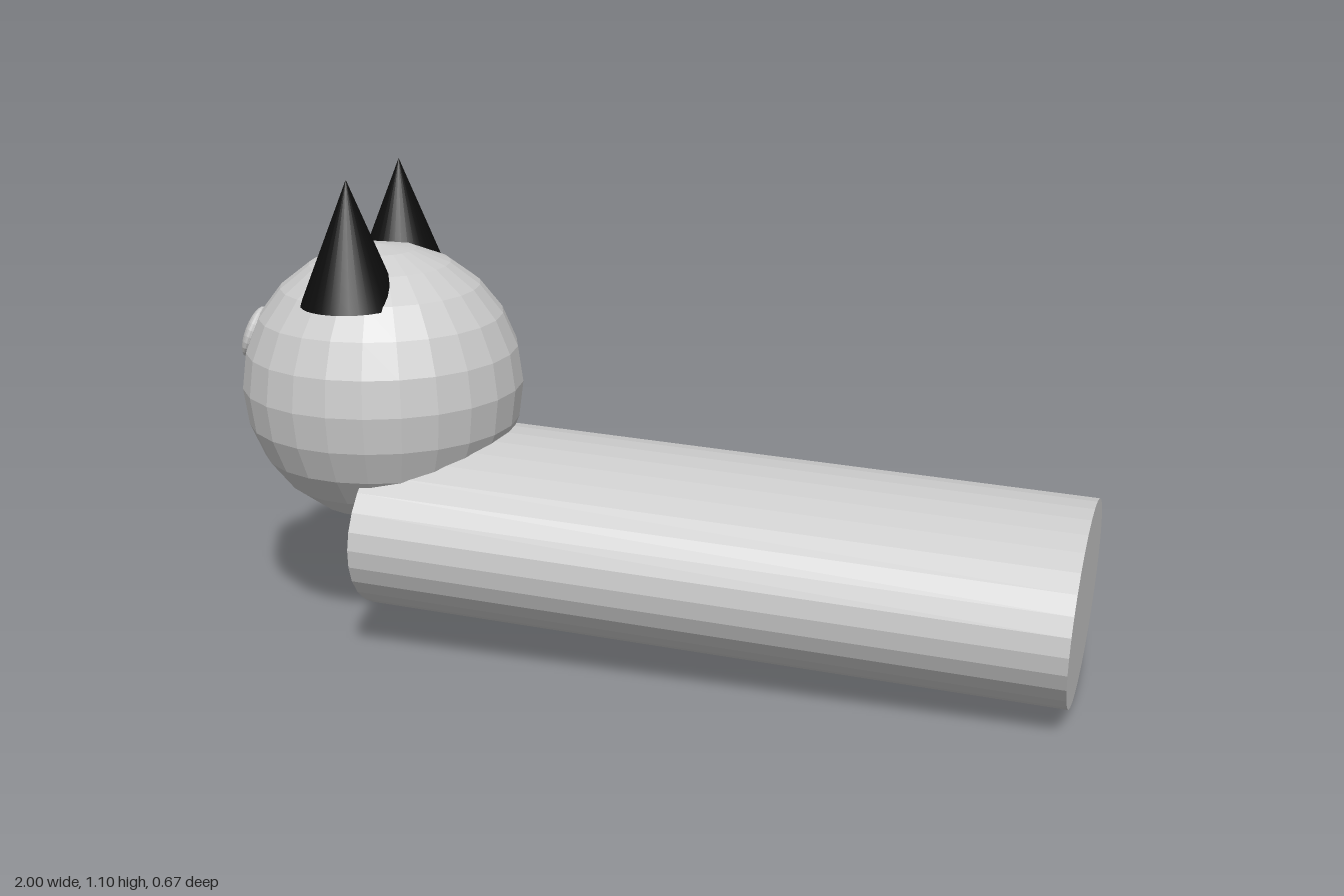
import * as THREE from 'three';

export function createModel() {
  const model = new THREE.Group();
  model.name = 'cat';
  const grey = new THREE.MeshStandardMaterial({ color: 0xcccccc, flatShading: true });
  grey.name = 'light grey';
  const black = new THREE.MeshStandardMaterial({ color: 0x0d0d0d });
  black.name = 'black';

  const add = (name, geometry, material, position) => {
    const mesh = new THREE.Mesh(geometry, material);
    mesh.name = name;
    mesh.position.copy(position);
    model.add(mesh);
    return mesh;
  };

  // Body: long oval cylinder, sloping slightly down towards +x
  const body = add('body', new THREE.CylinderGeometry(1, 1, 1.618, 32), grey,
    new THREE.Vector3(0.181, 0.254, 0));
  body.scale.set(0.217, 1, 0.332);
  body.rotation.z = -Math.PI / 2 - 0.041;

  // Head: faceted ball over the -x end of the body
  const headCentre = new THREE.Vector3(-0.67, 0.595, -0.004);
  add('head', new THREE.SphereGeometry(0.33, 24, 12), grey, headCentre);

  // Ears: upright cones sunk into the head
  for (const [name, z] of [['leftEar', 0.16], ['rightEar', -0.138]]) {
    add(name, new THREE.ConeGeometry(0.114, 0.285, 32), black,
      new THREE.Vector3(-0.672, 0.96, z));
  }

  // Eyes: flattened balls lying on the head surface
  const eyes = [['leftEye', -0.3, 0.115, 0.069], ['rightEye', -0.27, 0.115, -0.14]];
  for (const [name, x, y, z] of eyes) {
    const outward = new THREE.Vector3(x, y, z).normalize();
    const eye = add(name, new THREE.SphereGeometry(0.063, 24, 12), grey,
      headCentre.clone().addScaledVector(outward, 0.325));
    eye.scale.z = 0.33;
    eye.quaternion.setFromUnitVectors(new THREE.Vector3(0, 0, 1), outward);
  }

  return model;
}
